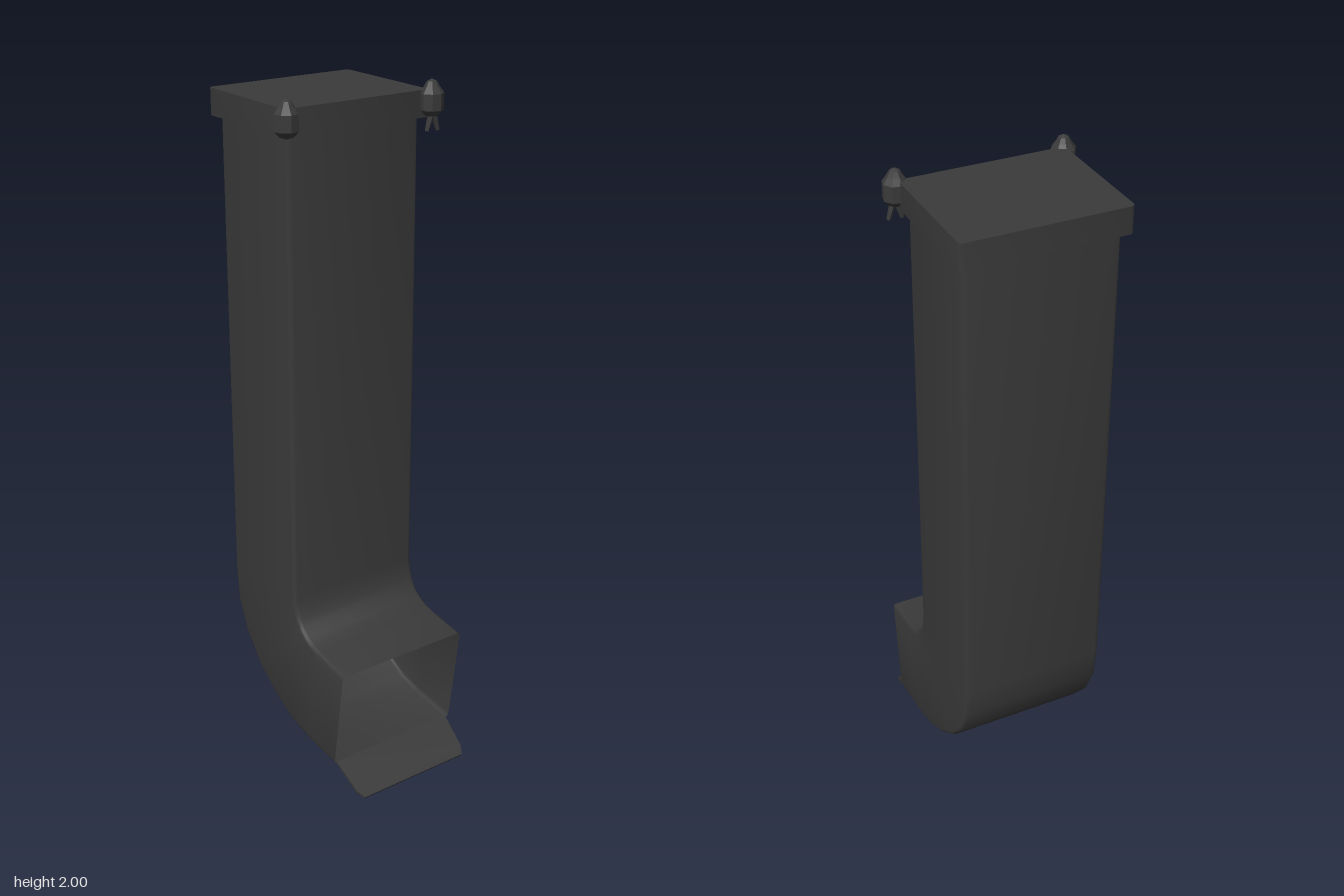
import * as THREE from 'three';
import { toCreasedNormals } from 'three/addons/utils/BufferGeometryUtils.js';

const DARK = 0x3a3a3a;

// Rounded rectangle outline, counter-clockwise, as [x, y] pairs
function roundedRect(halfW, halfH, r, steps = 3) {
  const pts = [];
  [[1, 1], [-1, 1], [-1, -1], [1, -1]].forEach(([sx, sy], q) => {
    for (let i = 0; i <= steps; i++) {
      const a = (q + i / steps) * Math.PI / 2;
      pts.push([sx * (halfW - r) + r * Math.cos(a), sy * (halfH - r) + r * Math.sin(a)]);
    }
  });
  return pts;
}

// Open duct swept through pairs of [front z, front y, back z, back y]
function ductGeometry(sections, halfW, radius) {
  const pos = [], index = [];
  let n = 0;
  for (const [fz, fy, bz, by] of sections) {
    const half = Math.hypot(bz - fz, by - fy) / 2;
    const ring = roundedRect(halfW, half, radius);
    n = ring.length;
    for (const [x, v] of ring) {
      const t = (v / half + 1) / 2;
      pos.push(x, fy + (by - fy) * t, fz + (bz - fz) * t);
    }
  }
  for (let i = 0; i < sections.length - 1; i++) {
    for (let j = 0; j < n; j++) {
      const a = i * n + j, b = i * n + (j + 1) % n;
      index.push(a, a + n, b, b, a + n, b + n);
    }
  }
  const g = new THREE.BufferGeometry();
  g.setAttribute('position', new THREE.Float32BufferAttribute(pos, 3));
  g.setIndex(index);
  return toCreasedNormals(g, 0.7);
}

export function createModel() {
  const model = new THREE.Group();
  const smooth = new THREE.MeshStandardMaterial({ color: DARK, side: THREE.DoubleSide });
  const faceted = new THREE.MeshStandardMaterial({ color: DARK, flatShading: true });
  const add = (name, geometry, material, parent = model) => {
    const mesh = new THREE.Mesh(geometry, material);
    mesh.name = name;
    parent.add(mesh);
    return mesh;
  };

  // Rectangular shaft, bending forward into the open mouth
  add('duct', ductGeometry([
    [0.02, 1.92, -0.305, 1.92],
    [0.02, 0.54, -0.305, 0.5],
    [0.026, 0.505, -0.294, 0.4],
    [0.036, 0.475, -0.257, 0.31],
    [0.052, 0.45, -0.19, 0.225],
    [0.075, 0.432, -0.1, 0.155],
    [0.105, 0.419, -0.005, 0.108],
    [0.14, 0.412, 0.075, 0.09],
    [0.264, 0.395, 0.22, 0.075],
  ], 0.215, 0.012), smooth);

  // Lid with rounded upright corners
  const outline = new THREE.Shape(roundedRect(0.233, 0.1865, 0.012).map(p => new THREE.Vector2(...p)));
  const lidGeo = new THREE.ExtrudeGeometry(outline, { depth: 0.075, bevelEnabled: false });
  lidGeo.rotateX(-Math.PI / 2).translate(0, 1.895, -0.1465);
  add('lid', toCreasedNormals(lidGeo, 0.7), smooth);

  // Tapered lip sloping down from the mouth
  const lipShape = new THREE.Shape([
    [-0.205, 0], [0.205, 0], [0.196, 0.105], [0.183, 0.132], [-0.183, 0.132], [-0.196, 0.105],
  ].map(p => new THREE.Vector2(...p)));
  const lipGeo = new THREE.ExtrudeGeometry(lipShape, { depth: 0.008, bevelEnabled: false });
  lipGeo.rotateX(Math.PI / 2 + 0.56);
  const lip = add('lip', toCreasedNormals(lipGeo, 0.5), smooth);
  lip.position.set(0, 0.079, 0.217);

  // Domed cap nuts on the front corners of the lid
  const nutProfile = [
    [0, 1.895], [0.02, 1.902], [0.034, 1.917], [0.034, 1.962], [0.022, 1.979], [0.014, 1.993], [0, 2],
  ].map(p => new THREE.Vector2(...p));
  for (const side of [1, -1]) {
    const nut = add(side > 0 ? 'leftCapNut' : 'rightCapNut', new THREE.LatheGeometry(nutProfile, 8), faceted);
    nut.position.set(side * 0.235, 0, 0.05);
    nut.rotation.y = side * 0.2;
  }

  // Split pin hanging under the left nut
  const pin = new THREE.Group();
  pin.name = 'splitPin';
  pin.position.set(0.236, 1.9, 0.054);
  for (const s of [1, -1]) {
    const leg = add('pinLeg', new THREE.CylinderGeometry(0.009, 0.006, 0.045, 6), faceted, pin);
    leg.position.set(s * 0.012, -0.018, 0);
    leg.rotation.z = s * 0.3;
  }
  model.add(pin);

  return model;
}
